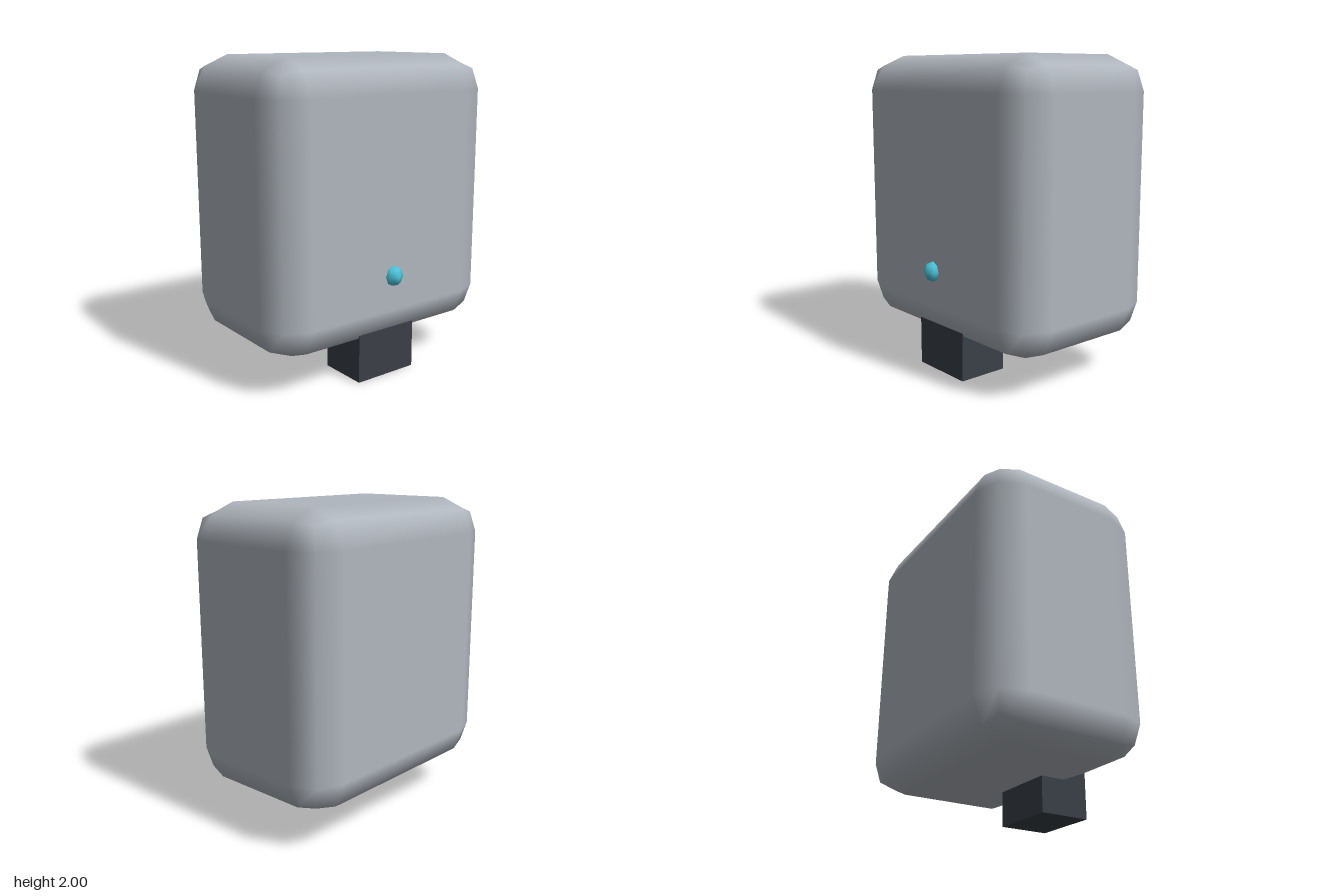
import * as THREE from 'three';
import { RoundedBoxGeometry } from 'three/addons/geometries/RoundedBoxGeometry.js';

function makeMaterial(name, color) {
  const material = new THREE.MeshStandardMaterial({ color });
  material.name = name;
  return material;
}

export function createModel() {
  const model = new THREE.Group();
  const add = (name, geometry, material, x, y, z) => {
    const mesh = new THREE.Mesh(geometry, material);
    mesh.name = name;
    mesh.position.set(x, y, z);
    model.add(mesh);
  };

  // Rounded casing, one bevel step per corner
  add('casing', new RoundedBoxGeometry(1.665, 1.775, 1.11, 1, 0.222),
    makeMaterial('light grey', 0xb0b6be), 0, 1.1125, -0.035);

  // Neck block under the front half
  add('neck', new THREE.BoxGeometry(0.44, 0.31, 0.33),
    makeMaterial('dark slate', 0x3a3f47), 0, 0.155, 0.30);

  // Low-poly indicator light, one corner turned forward
  add('indicatorLight', new THREE.SphereGeometry(0.065, 6, 4).rotateY(Math.PI / 6),
    makeMaterial('cyan', 0x4cc4da), 0, 0.67, 0.52);

  return model;
}
